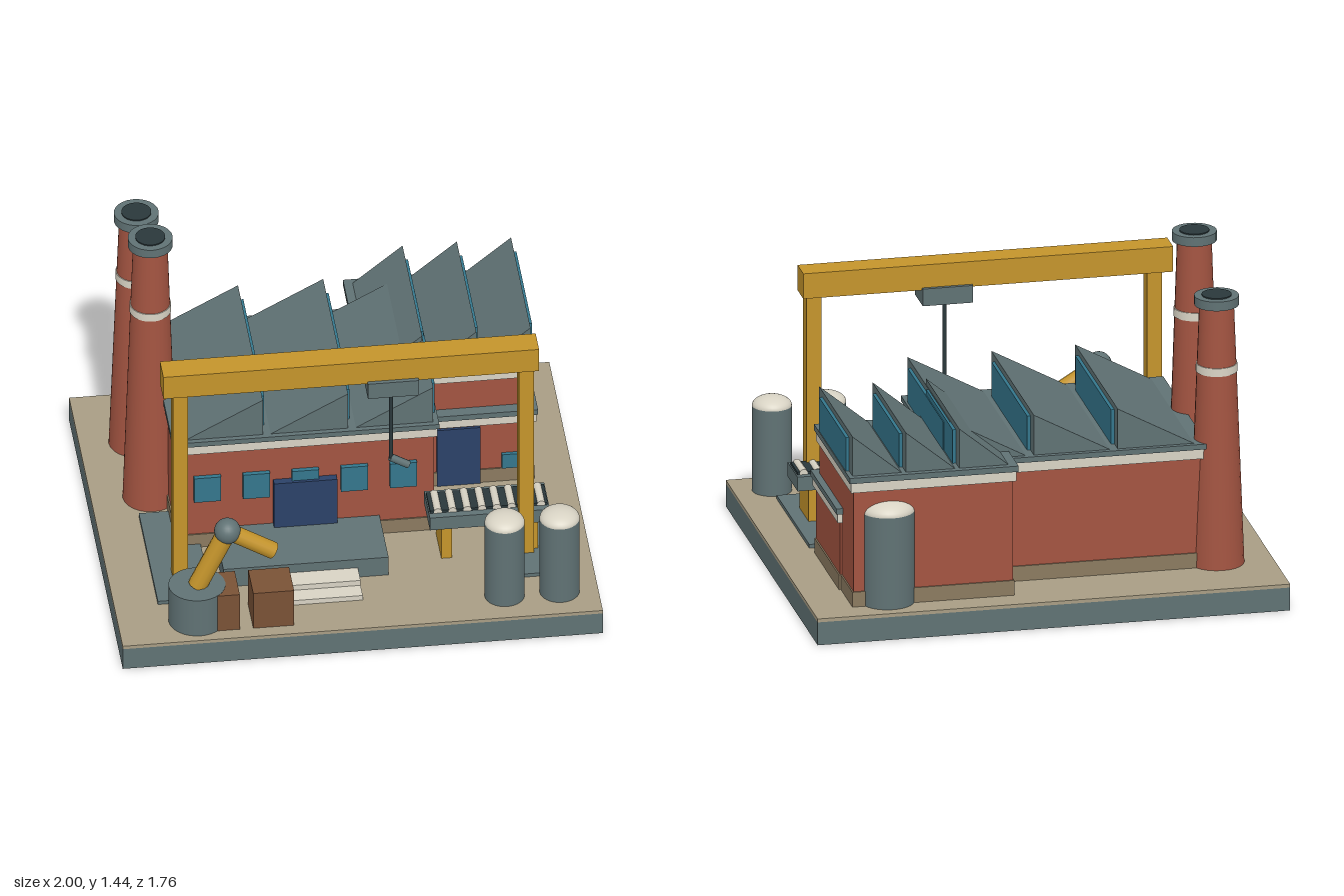
import * as THREE from 'three';

const mat = (color, flatShading = false) => new THREE.MeshStandardMaterial({ color, flatShading });
const STEEL = mat(0x607274), BRICK = mat(0xa35441), CREAM = mat(0xd8d3c4), GLASS = mat(0x34768c);
const BLUE = mat(0x2b4168), SAND = mat(0xa89d84), PLINTH = mat(0x8b7a60), YELLOW = mat(0xc4942b);
const WOOD = mat(0x7a5236), DARK = mat(0x2a383b);
const GROUND = 0.115;

function add(parent, name, geometry, material, x = 0, y = 0, z = 0) {
  const mesh = new THREE.Mesh(geometry, material);
  mesh.name = name;
  mesh.position.set(x, y, z);
  parent.add(mesh);
  return mesh;
}

// Box given by its lower and upper limits on each axis
function box(parent, name, material, [x0, x1], [y0, y1], [z0, z1]) {
  return add(parent, name, new THREE.BoxGeometry(x1 - x0, y1 - y0, z1 - z0), material,
    (x0 + x1) / 2, (y0 + y1) / 2, (z0 + z1) / 2);
}

// Upright cylinder from y0 to y1
function drum(parent, name, material, x, z, r0, r1, y0, y1, sides = 32) {
  return add(parent, name, new THREE.CylinderGeometry(r1, r0, y1 - y0, sides), material, x, (y0 + y1) / 2, z);
}

// Round bar between two points
function bar(parent, name, material, a, b, radius, sides = 12) {
  const from = new THREE.Vector3(...a), to = new THREE.Vector3(...b);
  const mesh = add(parent, name, new THREE.CylinderGeometry(radius, radius, from.distanceTo(to), sides), material);
  mesh.position.copy(from).lerp(to, 0.5);
  mesh.quaternion.setFromUnitVectors(new THREE.Vector3(0, 1, 0), to.sub(from).normalize());
  return mesh;
}

function group(parent, name) {
  const g = new THREE.Group();
  g.name = name;
  parent.add(g);
  return g;
}

// Brick block with plinth, cream cornice and roof slab
function building(parent, name, x, z, corniceY, roofY, topY) {
  const g = group(parent, name);
  const grow = ([a, b], d) => [a - d, b + d];
  box(g, 'walls', BRICK, x, [GROUND, corniceY + 0.01], z);
  box(g, 'plinth', PLINTH, grow(x, 0.006), [GROUND, 0.18], grow(z, 0.006));
  box(g, 'cornice', CREAM, grow(x, 0.013), [corniceY, roofY], grow(z, 0.013));
  box(g, 'roofSlab', STEEL, grow(x, 0.02), [roofY, topY], grow(z, 0.02));
  return g;
}

// Row of sawtooth roof lights with glazing on the upright side
function sawtooth(parent, starts, width, y, height, [z0, z1]) {
  const profile = new THREE.Shape([[0, 0], [width, 0], [width, height]].map(p => new THREE.Vector2(...p)));
  const geometry = new THREE.ExtrudeGeometry(profile, { depth: z1 - z0, bevelEnabled: false });
  for (const x of starts) {
    add(parent, 'roofTooth', geometry, STEEL, x, y, z0);
    box(parent, 'roofGlazing', GLASS, [x + width - 0.01, x + width + 0.014],
      [y, y + height - 0.025], [z0 + 0.065, z1 - 0.065]);
  }
}

// Tapered stack with band, cap and dark flue
function chimney(parent, x, z, top) {
  const g = group(parent, 'chimney');
  const r0 = 0.115, r1 = 0.072, height = top - 0.035 - GROUND;
  const radius = y => r0 + (r1 - r0) * (y - GROUND) / height;
  const bandY = GROUND + height * 0.74;
  drum(g, 'stack', BRICK, x, z, r0, r1, GROUND, top - 0.035, 24);
  drum(g, 'band', CREAM, x, z, radius(bandY) + 0.004, radius(bandY + 0.035) + 0.004, bandY, bandY + 0.035, 24);
  drum(g, 'cap', STEEL, x, z, 0.093, 0.093, top - 0.04, top, 24);
  drum(g, 'flue', DARK, x, z, 0.062, 0.062, top - 0.02, top + 0.005, 24);
}

// Storage tank with a shallow dome
function tank(parent, x, z, r, top, domeHeight) {
  const g = group(parent, 'tank');
  drum(g, 'shell', STEEL, x, z, r, r, GROUND, top);
  const dome = add(g, 'dome', new THREE.SphereGeometry(r, 32, 10, 0, Math.PI * 2, 0, Math.PI / 2), CREAM, x, top, z);
  dome.scale.y = domeHeight / r;
}

export function createModel() {
  const model = new THREE.Group();
  model.name = 'factory';

  // Ground slab
  box(model, 'base', STEEL, [-1, 1], [0, 0.1], [-0.88, 0.88]);
  box(model, 'yard', SAND, [-1, 1], [0.1, GROUND], [-0.88, 0.88]);

  // Main hall
  const hall = building(model, 'mainHall', [-0.69, 0.38], [-0.595, 0.222], 0.594, 0.637, 0.66);
  sawtooth(hall, [-0.655, -0.3, 0.055], 0.322, 0.66, 0.175, [-0.594, 0.22]);
  for (let i = 0; i < 5; i++) {
    const x = -0.565 + i * 0.204;
    box(hall, 'window', GLASS, [x - 0.056, x + 0.056], [0.353, 0.475], [0.2, 0.242]);
  }
  box(hall, 'door', BLUE, [-0.29, -0.027], [GROUND, 0.428], [0.2, 0.255]);

  // Rear wing
  const wing = building(model, 'rearWing', [0.148, 0.822], [-0.762, -0.113], 0.617, 0.66, 0.685);
  sawtooth(wing, [0.165, 0.391, 0.617], 0.208, 0.685, 0.172, [-0.755, -0.115]);

  // Low annex on the wing
  const annex = building(model, 'annex', [0.37, 0.83], [-0.54, -0.082], 0.41, 0.45, 0.475);
  box(annex, 'annexDoor', BLUE, [0.43, 0.61], [GROUND, 0.4], [-0.1, -0.07]);
  box(annex, 'annexWindow', GLASS, [0.7, 0.78], [0.185, 0.255], [-0.1, -0.066]);

  // Chimneys and tanks
  chimney(model, -0.754, -0.157, 1.435);
  chimney(model, -0.763, -0.542, 1.285);
  tank(model, 0.611, 0.72, 0.083, 0.487, 0.043);
  tank(model, 0.84, 0.72, 0.083, 0.487, 0.043);
  tank(model, 0.67, -0.722, 0.113, 0.515, 0.055);

  // Loading dock and steps
  const dock = group(model, 'loadingDock');
  box(dock, 'platform', STEEL, [-0.535, 0.153], [GROUND, 0.205], [0.222, 0.52]);
  box(dock, 'upperStep', CREAM, [-0.405, 0.025], [GROUND, 0.163], [0.5, 0.61]);
  box(dock, 'lowerStep', CREAM, [-0.405, 0.025], [GROUND, 0.138], [0.6, 0.682]);

  // Gantry crane on two ground tracks
  const gantry = group(model, 'gantryCrane');
  for (const [track, leg] of [[-0.706, -0.706], [0.732, 0.735]]) {
    box(gantry, 'track', STEEL, [track - 0.113, track + 0.113], [GROUND, 0.131], [-0.017, 0.607]);
    box(gantry, 'gantryLeg', YELLOW, [leg - 0.031, leg + 0.031], [0.131, 1.08], [0.389, 0.461]);
  }
  box(gantry, 'beam', YELLOW, [-0.78, 0.785], [1.07, 1.18], [0.367, 0.48]);
  box(gantry, 'trolley', STEEL, [0.07, 0.283], [1.005, 1.08], [0.351, 0.498]);
  bar(gantry, 'cable', DARK, [0.175, 1.01, 0.425], [0.175, 0.645, 0.425], 0.009, 8);
  bar(gantry, 'hook', STEEL, [0.172, 0.647, 0.425], [0.248, 0.602, 0.425], 0.017, 8);

  // Roller conveyor
  const conveyor = group(model, 'conveyor');
  box(conveyor, 'conveyorBed', STEEL, [0.335, 0.835], [0.27, 0.332], [0.252, 0.443]);
  box(conveyor, 'belt', DARK, [0.34, 0.83], [0.325, 0.344], [0.28, 0.41]);
  for (let i = 0; i < 8; i++) {
    const x = 0.372 + i * 0.0615;
    bar(conveyor, 'roller', CREAM, [x, 0.338, 0.278], [x, 0.338, 0.412], 0.017);
  }
  for (const x of [0.406, 0.764]) {
    box(conveyor, 'conveyorLeg', YELLOW, [x - 0.022, x + 0.022], [GROUND, 0.275], [0.262, 0.433]);
  }

  // Jointed robot arm
  const robot = group(model, 'robotArm');
  const elbow = [-0.545, 0.555, 0.73];
  drum(robot, 'robotBase', STEEL, -0.672, 0.73, 0.118, 0.118, GROUND, 0.294);
  bar(robot, 'lowerArm', YELLOW, [-0.67, 0.29, 0.73], elbow, 0.041);
  bar(robot, 'upperArm', YELLOW, elbow, [-0.353, 0.437, 0.73], 0.036);
  add(robot, 'elbow', new THREE.SphereGeometry(0.055, 24, 16), STEEL, ...elbow);

  // Crates
  for (const x of [-0.59, -0.364]) {
    box(model, 'crate', WOOD, [x - 0.085, x + 0.085], [GROUND, 0.292], [0.655, 0.822]);
  }
  return model;
}
